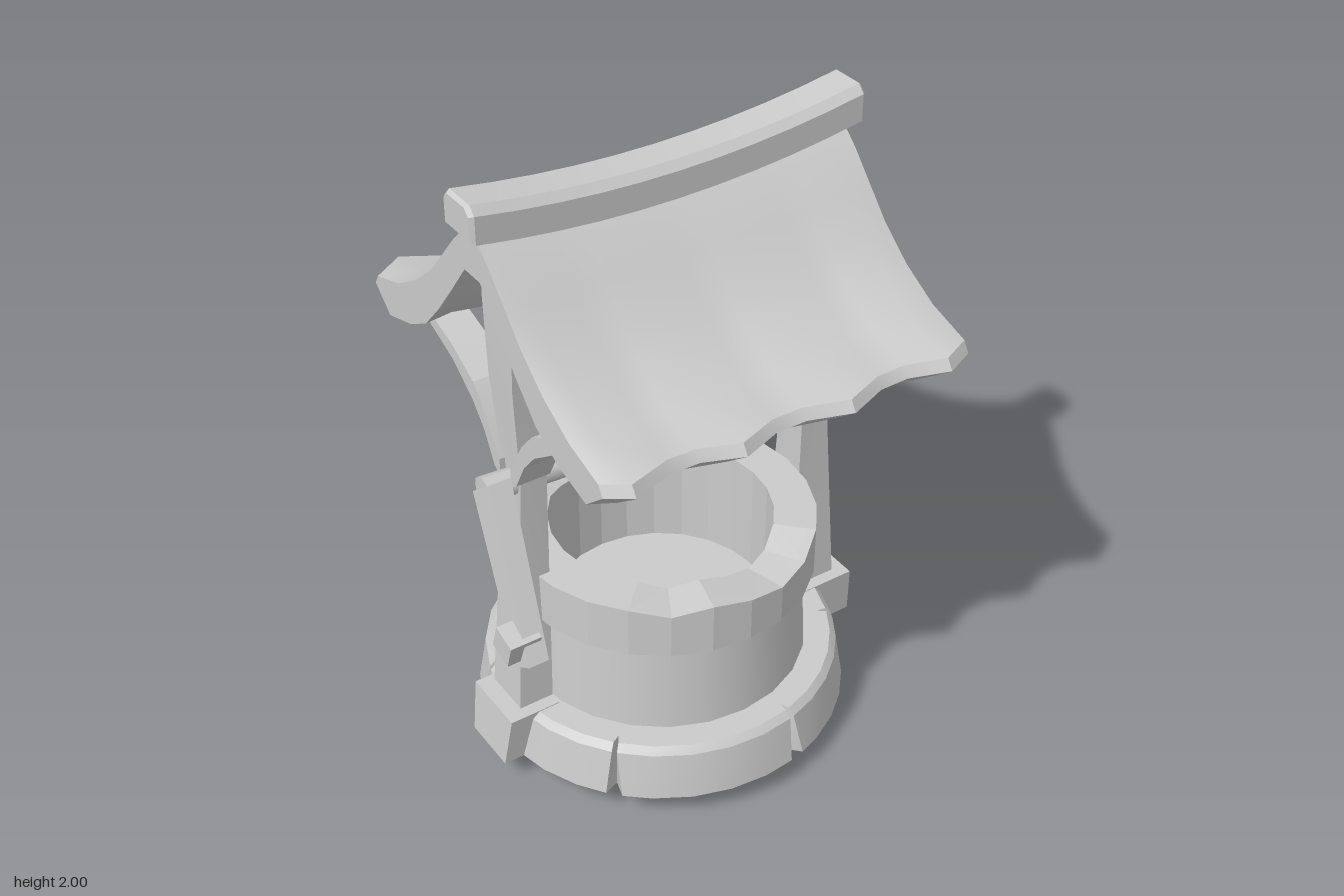
import * as THREE from 'three';
import { toCreasedNormals } from 'three/addons/utils/BufferGeometryUtils.js';

// Skins a row of equal rings of [x, y, z] points.
// cap: indices of the two axes used to fill the ends; loop: join last ring to first; open: rings are not closed.
function loft(rings, { cap = null, loop = false, open = false, crease = 0.5 } = {}) {
  const n = rings[0].length, index = [];
  const at = (i, j) => (i % rings.length) * n + (j % n);
  for (let i = 0; i < rings.length - (loop ? 0 : 1); i++) {
    for (let j = 0; j < n - (open ? 1 : 0); j++) {
      index.push(at(i, j), at(i, j + 1), at(i + 1, j + 1), at(i, j), at(i + 1, j + 1), at(i + 1, j));
    }
  }
  if (cap) {
    for (const i of [0, rings.length - 1]) {
      const flat = rings[i].map(p => new THREE.Vector2(p[cap[0]], p[cap[1]]));
      const reverse = THREE.ShapeUtils.isClockWise(flat) !== (i === 0);
      for (const [a, b, c] of THREE.ShapeUtils.triangulateShape(flat, [])) {
        index.push(at(i, a), ...(reverse ? [at(i, c), at(i, b)] : [at(i, b), at(i, c)]));
      }
    }
  }
  // turn the faces outward by the sign of the enclosed volume
  const pts = rings.flat().map(p => new THREE.Vector3(...p));
  let volume = 0;
  for (let k = 0; k < index.length; k += 3) {
    volume += pts[index[k]].dot(pts[index[k + 1]].clone().cross(pts[index[k + 2]]));
  }
  if (volume < 0) index.reverse();
  const g = new THREE.BufferGeometry().setFromPoints(pts);
  g.setIndex(index);
  return toCreasedNormals(g, crease);
}

// Rectangle ring at height y
const rect = (y, x0, x1, z, zb = z) => [[x0, y, z], [x1, y, z], [x1, y, -zb], [x0, y, -zb]];
const polar = (deg, r, y) => {
  const a = THREE.MathUtils.degToRad(deg);
  return [Math.sin(a) * r, y, Math.cos(a) * r];
};

export function createModel() {
  const model = new THREE.Group();
  const material = new THREE.MeshStandardMaterial({ color: 0xcccccc });
  const thin = new THREE.MeshStandardMaterial({ color: 0xcccccc, side: THREE.DoubleSide });
  const add = (name, geometry, mat = material) => {
    const mesh = new THREE.Mesh(geometry, mat);
    mesh.name = name;
    model.add(mesh);
    return mesh;
  };

  // Stone base: a hollow skirt with a ledge, cut by wedge-shaped joints
  const stones = [];
  const joints = [12, 65, 125, 183, 254, 312];
  const slice = (low, high, inset) => [
    polar(low, 0.58 - inset, 0.09), polar(high, 0.555 - inset, 0.24),
    polar(high, 0.535 - inset * 0.6, 0.262), polar(high, 0.44, 0.262)];
  joints.forEach((a, k) => {
    const next = joints[(k + 1) % joints.length] + (k === joints.length - 1 ? 360 : 0);
    stones.push(slice(a, a, 0.05), slice(a + 3, a + 0.8, 0));
    for (let s = 1; s < 5; s++) {
      const m = a + (next - a) * s / 5;
      stones.push(slice(m, m, 0));
    }
    stones.push(slice(next - 2, next - 0.8, 0));
  });
  add('stoneBase', loft(stones, { loop: true, open: true }), thin);

  // Shaft wall and the floor inside it
  const wall = new THREE.CylinderGeometry(0.435, 0.455, 0.32, 24, 1, true);
  wall.translate(0, 0.41, 0);
  add('shaftWall', wall, thin);
  const floor = add('shaftFloor', new THREE.CircleGeometry(0.44, 24), thin);
  floor.rotation.x = -Math.PI / 2;
  floor.position.y = 0.365;

  // Rim with worn dips at the front and back, and the lining below it
  const rim = [];
  const dips = { 0: 0.02, 15: 0.04, 30: 0.03, 150: 0.02, 165: 0.01, 180: 0.025, 195: 0.04, 210: 0.025, 330: 0.02 };
  for (let a = 0; a < 360; a += 15) {
    const top = 0.73 - (dips[a] || 0);
    rim.push([polar(a, 0.475, 0.565), polar(a, 0.475, top), polar(a, 0.345, top),
      polar(a, 0.345, 0.36), polar(a, 0.43, 0.36), polar(a, 0.43, 0.565)]);
  }
  add('rim', loft(rim, { loop: true, crease: 0.2 }));

  // Posts with feet and curved braces, one per side
  const sides = [
    { name: 'left', foot: [0.48, 0.68, 0.665], low: [0.46, 0.625], mid: [0.49, 0.57], top: [0.475, 0.575] },
    { name: 'right', foot: [-0.45, -0.635, -0.615], low: [-0.45, -0.565], mid: [-0.42, -0.505], top: [-0.415, -0.525] }];
  for (const { name, foot, low, mid, top } of sides) {
    add(name + 'PostFoot', loft([
      rect(0.09, foot[0], foot[1], 0.1, 0.09), rect(0.265, foot[0], foot[2], 0.12, 0.1)], { cap: [0, 2] }));
    add(name + 'Post', loft([
      rect(0.2, ...low, 0.082), rect(1.07, ...mid, 0.05), rect(1.4, ...top, 0.065),
      rect(1.65, ...top, 0.077), rect(1.86, ...top, 0.02)], { cap: [0, 2], crease: 0.2 }));
    for (const s of [1, -1]) {
      const outline = [[0.03, 1.12], [0.1, 1.24], [0.16, 1.31], [0.28, 1.375], [0.42, 1.42], [0.46, 1.4],
        [0.4, 1.375], [0.28, 1.325], [0.17, 1.245], [0.11, 1.175], [0.06, 1.08], [0.03, 1.06]];
      const brace = top.map(x => outline.map(([z, y]) => [x, y, z * s]));
      add(name + (s > 0 ? 'FrontBrace' : 'BackBrace'), loft(brace, { cap: [1, 2], crease: 0.2 }));
    }
  }

  // Roof slab: swept profile that sags in the middle and ripples toward the eaves
  const half = [[0.02, 1.895], [0.09, 1.83], [0.165, 1.745], [0.24, 1.66], [0.34, 1.575], [0.46, 1.505],
    [0.595, 1.462], [0.615, 1.43], [0.535, 1.36], [0.4, 1.4], [0.3, 1.455], [0.21, 1.55], [0.12, 1.66], [0.04, 1.76]];
  const columns = [[-0.59, 0], [-0.51, 1], [-0.37, 0], [-0.28, 0], [-0.17, 1], [-0.04, 0], [0.06, 0],
    [0.18, 1], [0.31, 0], [0.4, 0], [0.51, 1], [0.595, 0.1]];
  const roof = columns.map(([x, wave]) => {
    const sag = 0.035 * (1 - (x / 0.6) ** 2);
    const bend = s => ([z, y]) => {
      const t = Math.min(1, z / 0.6);
      const slant = Math.abs(x) < 0.55 ? (s < 0 ? 0.015 : -0.015) * t : 0;
      return [x + slant, y - sag * (1 - 0.6 * t) + 0.01 * wave * t, s * (z + 0.055 * wave * t * t) + 0.01 * t];
    };
    return [...half.map(bend(1)), ...half.map(bend(-1)).reverse()];
  });
  add('roof', loft(roof, { cap: [1, 2], crease: 0.6 }));

  // Sagging ridge beam with chamfered corners and ends
  const ridgeRing = (u, k) => [[0.075, -0.055], [0.075, 0.028], [0.052, 0.052], [-0.052, 0.052],
    [-0.075, 0.028], [-0.075, -0.055]].map(([z, h]) =>
    [0.008 + 0.62 * u + (k < 1 ? 0.012 * u : 0), 1.893 + 0.055 * u * u + h * k, z * k]);
  const ridge = [ridgeRing(-1, 0.85)];
  for (let i = -5; i <= 5; i++) ridge.push(ridgeRing(i / 5, 1));
  ridge.push(ridgeRing(1, 0.85));
  add('ridgeBeam', loft(ridge, { cap: [1, 2], crease: 0.35 }));

  // Bent log axle, thicker at one end
  const axle = [[-0.6, 1.06, 0.042], [-0.42, 1.05, 0.04], [-0.15, 1.03, 0.037], [0.13, 1.013, 0.038],
    [0.35, 1.045, 0.04], [0.5, 1.065, 0.045], [0.63, 1.08, 0.064]].map(([x, y, r]) =>
    Array.from({ length: 12 }, (_, k) => {
      const a = k * Math.PI / 6;
      return [x, y + r * Math.sin(a), r * Math.cos(a)];
    }));
  add('axle', loft(axle, { cap: [1, 2], crease: 0.7 }));

  // Crank arm and grip
  add('crankArm', loft([
    [[-0.6, 1.1, 0.04], [-0.53, 1.1, 0.04], [-0.53, 1.02, -0.06], [-0.6, 1.02, -0.06]],
    [[-0.65, 0.65, 0.31], [-0.585, 0.65, 0.31], [-0.585, 0.6, 0.235], [-0.65, 0.6, 0.235]]],
  { cap: [0, 2], crease: 0.2 }));
  const grip = add('crankGrip', new THREE.BoxGeometry(0.1, 0.085, 0.085));
  grip.position.set(-0.64, 0.69, 0.23);
  grip.rotation.x = 0.3;

  // Seven-sided bucket standing beside the base
  const bucket = new THREE.LatheGeometry([[0, 0], [0.105, 0], [0.14, 0.28], [0.11, 0.28], [0.085, 0.04], [0, 0.04]]
    .map(p => new THREE.Vector2(...p)), 7, 0.72);
  add('bucket', toCreasedNormals(bucket, 0.2)).position.set(0.47, 0, -0.548);

  return model;
}
